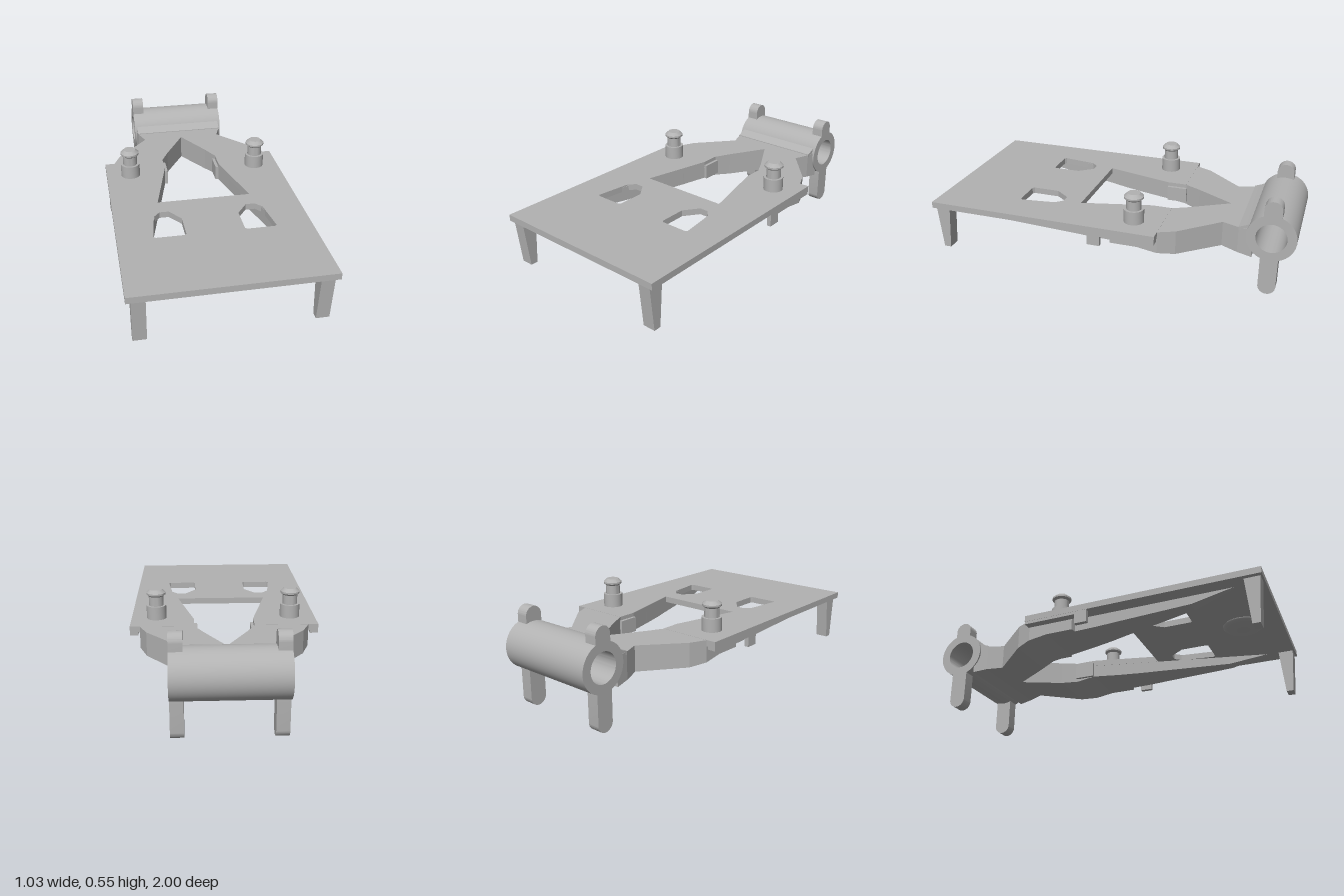
import * as THREE from 'three';
import { toCreasedNormals } from 'three/addons/utils/BufferGeometryUtils.js';

const grey = new THREE.MeshStandardMaterial({ color: 0xb2b2b2 });
grey.name = 'plain grey';

// Skin a row of rectangular sections [z, xInner, xOuter, yBottom, yTop]; side mirrors in x
function loft(sections, side) {
  const pos = [];
  const rings = sections.map(([z, a, b, lo, hi]) =>
    [[a, lo, z], [b, lo, z], [b, hi, z], [a, hi, z]].map(([x, y, w]) => [x * side, y, w]));
  const quad = (p, q, r, s) => {
    const order = side > 0 ? [p, q, r, p, r, s] : [p, r, q, p, s, r];
    order.forEach(v => pos.push(...v));
  };
  for (let i = 0; i < rings.length - 1; i++) {
    for (let k = 0; k < 4; k++) {
      const n = (k + 1) % 4;
      quad(rings[i][k], rings[i][n], rings[i + 1][n], rings[i + 1][k]);
    }
  }
  const first = rings[0], last = rings[rings.length - 1];
  quad(first[3], first[2], first[1], first[0]);
  quad(last[0], last[1], last[2], last[3]);
  const g = new THREE.BufferGeometry();
  g.setAttribute('position', new THREE.Float32BufferAttribute(pos, 3));
  g.computeVertexNormals();
  return g;
}

const points = list => list.map(([x, z]) => new THREE.Vector2(x, -z));

// Extrude a z-y profile along x, starting at x0
function acrossX(shape, x0, width) {
  const g = new THREE.ExtrudeGeometry(shape, { depth: width, bevelEnabled: false, curveSegments: 32 });
  g.rotateY(Math.PI / 2).translate(x0, 0, 0);
  return toCreasedNormals(g, 0.5);
}

export function createModel() {
  const model = new THREE.Group();
  const add = (name, geometry, x = 0, y = 0, z = 0) => {
    const mesh = new THREE.Mesh(geometry, grey);
    mesh.name = name;
    mesh.position.set(x, y, z);
    model.add(mesh);
    return mesh;
  };
  const box = (name, x0, x1, y0, y1, z0, z1) =>
    add(name, new THREE.BoxGeometry(Math.abs(x1 - x0), y1 - y0, z1 - z0),
      (x0 + x1) / 2, (y0 + y1) / 2, (z0 + z1) / 2);

  // Deck plate with tapered rear opening and two windows
  const deck = new THREE.Shape(points([
    [-0.515, 1], [0.515, 1], [0.515, -0.3], [0.165, -0.3], [0.165, -0.19], [0.26, 0.2],
    [-0.26, 0.2], [-0.165, -0.19], [-0.165, -0.3], [-0.515, -0.3]]));
  for (const s of [-1, 1]) {
    deck.holes.push(new THREE.Path(points([
      [0.165, 0.545], [0.315, 0.545], [0.325, 0.535], [0.3, 0.345], [0.265, 0.305],
      [0.215, 0.305], [0.155, 0.385], [0.155, 0.535]].map(([x, z]) => [s * x, z]))));
  }
  const deckGeometry = new THREE.ExtrudeGeometry(deck, { depth: 0.035, bevelEnabled: false });
  add('deckPlate', deckGeometry.rotateX(-Math.PI / 2), 0, 0.332, 0);

  // Shallow dome under the front of the deck
  const dome = new THREE.SphereGeometry(0.11, 40, 12, 0, Math.PI * 2, Math.PI / 2, Math.PI / 2);
  add('undersideDome', dome.scale(1, 0.27, 1), 0, 0.334, 0.79);

  // Hinge barrel, bored through
  const ring = new THREE.Shape().absarc(0.865, 0.335, 0.132, 0, Math.PI * 2);
  ring.holes.push(new THREE.Path().absarc(0.865, 0.335, 0.082, 0, Math.PI * 2, true));
  add('hingeBarrel', acrossX(ring, -0.288, 0.576));

  // Sloped fillet between arms and barrel
  const fillet = new THREE.Shape([[0.69, 0.35], [0.76, 0.35], [0.76, 0.4], [0.725, 0.383], [0.69, 0.37]]
    .map(p => new THREE.Vector2(...p)));
  add('barrelFillet', acrossX(fillet, -0.272, 0.544));

  // Rounded lug profiles above and below the barrel
  const r = 0.0475, c = 0.863;
  const upperLug = new THREE.Shape();
  upperLug.moveTo(c - r, 0.43).lineTo(c + r, 0.43).absarc(c, 0.545 - r, r, 0, Math.PI);
  const lowerLug = new THREE.Shape();
  lowerLug.moveTo(c + r, 0.245).lineTo(c - r, 0.245).absarc(c, r, r, Math.PI, Math.PI * 2);

  // Locating post: base, waist, chamfered head
  const post = new THREE.LatheGeometry([
    [0, 0.355], [0.055, 0.355], [0.055, 0.442], [0.041, 0.442], [0.041, 0.495],
    [0.053, 0.505], [0.053, 0.515], [0.034, 0.533], [0, 0.533]]
    .map(p => new THREE.Vector2(...p)), 32);
  const postGeometry = toCreasedNormals(post, 0.5);

  for (const s of [-1, 1]) {
    const side = s > 0 ? 'left' : 'right';

    // Deep arm running from the barrel, tapering out under the deck
    add(side + 'Arm', loft([
      [-0.77, 0, 0.283, 0.207, 0.366],
      [-0.69, 0, 0.27, 0.217, 0.366],
      [-0.6, 0, 0.237, 0.225, 0.366],
      [-0.39, 0.12, 0.42, 0.232, 0.366],
      [-0.3, 0.165, 0.46, 0.243, 0.366],
      [-0.19, 0.166, 0.46, 0.26, 0.36],
      [-0.04, 0.203, 0.46, 0.26, 0.36],
      [-0.035, 0.204, 0.43, 0.26, 0.36],
      [0.1, 0.236, 0.43, 0.263, 0.36],
      [0.2, 0.261, 0.43, 0.268, 0.36],
      [0.62, 0.362, 0.43, 0.285, 0.36],
      [0.86, 0.42, 0.43, 0.336, 0.36]], s));

    // Front leg, tapered in depth
    const leg = new THREE.BoxGeometry(0.07, 0.26, 0.085);
    const p = leg.attributes.position;
    for (let i = 0; i < p.count; i++) if (p.getY(i) < 0) p.setZ(i, p.getZ(i) * 0.47);
    leg.computeVertexNormals();
    add(side + 'FrontLeg', leg, s * 0.455, 0.21, 0.948);

    // Barrel lugs
    const x0 = s > 0 ? 0.22 : -0.288;
    add(side + 'UpperLug', acrossX(upperLug, x0, 0.068));
    add(side + 'LowerLug', acrossX(lowerLug, x0, 0.068));

    // Deck post, edge rim, edge tab and inner clip
    add(side + 'Post', postGeometry, s * 0.375, 0, -0.148);
    box(side + 'EdgeRim', s * 0.47, s * 0.514, 0.316, 0.34, -0.299, 0);
    box(side + 'EdgeTab', s * 0.49, s * 0.514, 0.26, 0.34, 0, 0.07);
    box(side + 'InnerClip', s * 0.148, s * 0.185, 0.26, 0.345, -0.305, -0.19);
  }
  return model;
}
